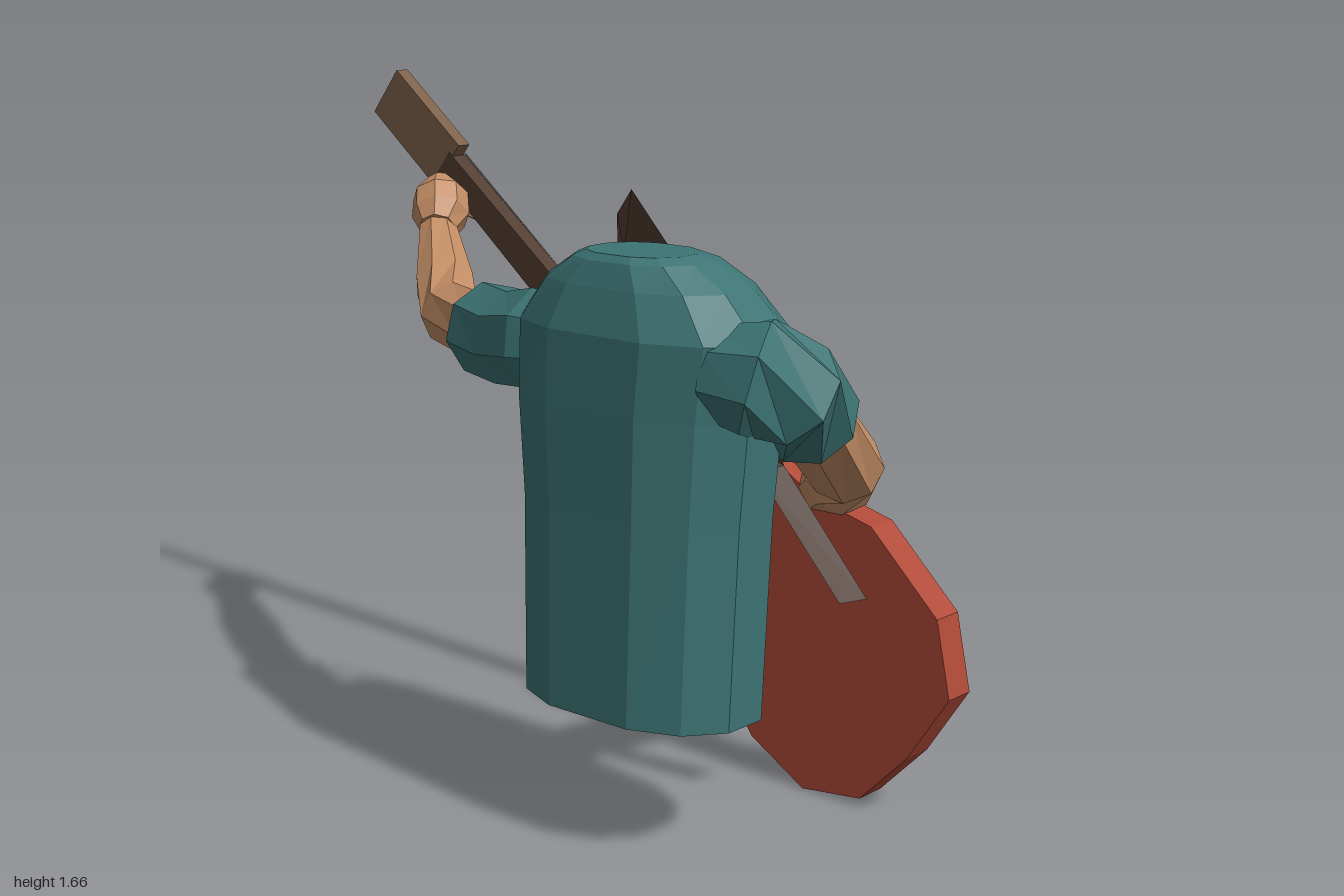
import * as THREE from 'three';

const material = (name, color, extra = {}) => {
  const m = new THREE.MeshStandardMaterial({ color, flatShading: true, ...extra });
  m.name = name;
  return m;
};
const V = (a) => new THREE.Vector3(...a);

// Closed surface through equal-length rings, which turn counterclockwise about the path.
function skin(rings) {
  const n = rings[0].length, pos = rings.flat().flatMap((p) => p.toArray()), index = [];
  for (let i = 0; i < rings.length - 1; i++) {
    for (let j = 0; j < n; j++) {
      const a = i * n + j, b = i * n + (j + 1) % n;
      index.push(a, b, b + n, a, b + n, a + n);
    }
  }
  const last = (rings.length - 1) * n;
  for (let j = 1; j < n - 1; j++) {
    index.push(0, j + 1, j, last, last + j, last + j + 1);
  }
  const g = new THREE.BufferGeometry();
  g.setAttribute('position', new THREE.Float32BufferAttribute(pos, 3));
  g.setIndex(index);
  const flat = g.toNonIndexed();
  flat.computeVertexNormals();
  return flat;
}

// Faceted limb through stations [x, y, z, radius].
function limb(stations, sides = 8) {
  const c = stations.map((s) => V(s.slice(0, 3)));
  return skin(stations.map((s, i) => {
    const t = c[Math.min(i + 1, c.length - 1)].clone().sub(c[Math.max(i - 1, 0)]).normalize();
    const b = t.clone().cross(V([0.3, 0.2, 1]).normalize()).normalize();
    const n = b.clone().cross(t);
    return Array.from({ length: sides }, (_, j) => {
      const a = (j + 0.5) / sides * Math.PI * 2;
      return c[i].clone().addScaledVector(n, s[3] * Math.cos(a)).addScaledVector(b, s[3] * Math.sin(a));
    });
  }));
}

export function createModel() {
  const teal = material('teal cloth', 0x3d7474);
  const skinTone = material('skin', 0xc48e66);
  const red = material('red lacquer', 0xb04a38);
  const darkWood = material('dark wood', 0x523d31);
  const headWood = material('headstock wood', 0x7d604a);
  const cream = material('guard grey', 0xaaa293);
  const black = material('black plastic', 0x1f2122);
  const steel = material('string steel', 0x97938c);
  const leather = material('strap leather', 0x4b362d, { side: THREE.DoubleSide });

  const model = new THREE.Group();
  const add = (parent, name, geometry, mat) => {
    const mesh = new THREE.Mesh(geometry, mat);
    mesh.name = name;
    parent.add(mesh);
    return mesh;
  };

  // Torso: one twelve-sided section scaled up the body [y, xMin, xMax, zMin, zMax]
  const section = [[-0.39, 1], [0.39, 1], [0.78, 0.75], [1, 0.3], [1, -0.3], [0.78, -0.75],
    [0.39, -1], [-0.39, -1], [-0.78, -0.75], [-1, -0.3], [-1, 0.3], [-0.78, 0.75]];
  const levels = [[0.33, 0.16, 0.76, 0.09, 0.475], [0.8, 0.15, 0.775, 0.08, 0.47],
    [1.03, 0.125, 0.79, 0.065, 0.468], [1.2, 0.125, 0.81, 0.06, 0.465],
    [1.3, 0.21, 0.72, 0.11, 0.44], [1.355, 0.3, 0.635, 0.16, 0.42], [1.37, 0.34, 0.6, 0.2, 0.405]];
  add(model, 'torso', skin(levels.map(([y, x0, x1, z0, z1]) => section.map(([u, w]) =>
    new THREE.Vector3((x0 + x1 + u * (x1 - x0)) / 2, y, (z0 + z1 + w * (z1 - z0)) / 2)))), teal);

  // Sleeves
  add(model, 'rightSleeve', limb([[0.26, 1.13, 0.29, 0.11], [0.16, 1.13, 0.29, 0.125],
    [0.04, 1.11, 0.26, 0.118], [-0.1, 1.11, 0.21, 0.118]]), teal);
  add(model, 'leftSleeve', limb([[0.7, 1.13, 0.32, 0.11], [0.79, 1.13, 0.3, 0.135],
    [0.835, 1.09, 0.24, 0.125], [0.805, 1.015, 0.13, 0.115]]), teal);

  // Arms
  add(model, 'rightArm', limb([[0, 1.11, 0.25, 0.085], [-0.1, 1.11, 0.21, 0.088],
    [-0.34, 1.105, 0.1, 0.083], [-0.46, 1.155, 0.01, 0.078], [-0.64, 1.265, -0.14, 0.052],
    [-0.66, 1.29, -0.16, 0.05]]), skinTone);
  add(model, 'leftArm', limb([[0.82, 1.06, 0.19, 0.085], [0.8, 1.01, 0.12, 0.09],
    [0.705, 0.835, -0.15, 0.09], [0.66, 0.79, -0.19, 0.085], [0.45, 0.665, -0.33, 0.056],
    [0.42, 0.64, -0.345, 0.052]]), skinTone);

  // Hands
  add(model, 'rightHand', limb([[-0.63, 1.27, -0.13, 0.05], [-0.66, 1.3, -0.17, 0.078],
    [-0.69, 1.345, -0.2, 0.075], [-0.725, 1.385, -0.23, 0.03]]), skinTone);
  add(model, 'leftHand', limb([[0.44, 0.66, -0.33, 0.05], [0.405, 0.605, -0.345, 0.08],
    [0.385, 0.555, -0.36, 0.075], [0.37, 0.5, -0.375, 0.035]]), skinTone);
  for (let i = 0; i < 3; i++) {
    add(model, 'rightFinger', limb([[-0.74 + i * 0.03, 1.385 - i * 0.025, -0.23, 0.018],
      [-0.735 + i * 0.03, 1.36 - i * 0.03, -0.29, 0.018],
      [-0.72 + i * 0.03, 1.33 - i * 0.025, -0.315, 0.011]], 6), skinTone);
  }
  add(model, 'leftThumb', limb([[0.4, 0.59, -0.38, 0.03], [0.375, 0.615, -0.43, 0.025],
    [0.37, 0.632, -0.475, 0.015]], 6), skinTone);

  // Strap: a twisting ribbon given by pairs of edge points
  const edges = [[0.23, 1.41, 0.12, 0.31, 1.33, 0.185], [0.21, 1.19, 0.09, 0.27, 1.47, 0.115],
    [0.42, 0.96, 0.05, 0.515, 1.135, 0.045], [0.62, 0.85, 0.075, 0.65, 0.86, 0.015],
    [0.815, 0.565, 0.015, 0.84, 0.565, -0.055]];
  const ribbon = new THREE.BufferGeometry();
  ribbon.setAttribute('position', new THREE.Float32BufferAttribute(edges.flat(), 3));
  ribbon.setIndex(edges.slice(1).flatMap((_, i) => [0, 1, 3, 0, 3, 2].map((k) => k + i * 2)));
  const strapGeometry = ribbon.toNonIndexed();
  strapGeometry.computeVertexNormals();
  add(model, 'strap', strapGeometry, leather);

  // Guitar frame: x runs along the neck to the headstock, z out of the playing face
  const guitar = new THREE.Group();
  guitar.name = 'guitar';
  const U = V([-0.783, 0.622, 0]), W = V([0.622, 0.783, 0]);
  guitar.quaternion.setFromRotationMatrix(new THREE.Matrix4().makeBasis(U, W, V([0, 0, -1])));
  model.add(guitar);
  const axis = 0.667;
  const toLocal = ([x, y]) => new THREE.Vector2(x * U.x + y * U.y, x * W.x + y * W.y);
  const plate = (name, points, z, depth, mat) => {
    const g = new THREE.ExtrudeGeometry(new THREE.Shape(points), { depth, bevelEnabled: false });
    return add(guitar, name, g.translate(0, 0, z), mat);
  };
  const box = (name, t, s, z, l, w, d, mat) =>
    add(guitar, name, new THREE.BoxGeometry(l, w, d).translate(t, s, z), mat);

  // Body and guard
  plate('guitarBody', [[0.1, 0.47], [0.16, 0.44], [0.26, 0.33], [0.43, 0.1], [0.59, 0.005],
    [0.76, 0.025], [0.89, 0.16], [1, 0.33], [0.96, 0.515], [0.77, 0.7], [0.6, 0.745],
    [0.44, 0.84], [0.33, 0.908], [0.3, 0.78], [0.38, 0.66], [0.32, 0.56], [0.23, 0.56],
    [0.13, 0.54]].map(toLocal), 0.165, 0.085, red);
  plate('guard', [[0.35, 0.55], [0.38, 0.39], [0.56, 0.145], [0.7, 0.09], [0.83, 0.205],
    [0.92, 0.41], [0.68, 0.62], [0.46, 0.66]].map(toLocal), 0.25, 0.006, cream);

  // Neck and headstock
  plate('neck', [[0, axis - 0.052], [1.46, axis - 0.037], [1.46, axis + 0.037], [0, axis + 0.052]]
    .map((p) => new THREE.Vector2(...p)), 0.248, 0.047, darkWood);
  box('headstock', 1.597, axis, 0.27, 0.306, 0.15, 0.04, headWood);

  // Frets, inlays and strings
  for (let n = 1; n <= 20; n++) {
    const t = 1.45 - 1.75 * (1 - 2 ** (-n / 12));
    box('fret', t, axis, 0.296, 0.005, 0.098 - 0.016 * t, 0.005, steel);
  }
  for (const t of [0.5, 0.71, 0.95, 1.13]) {
    add(guitar, 'inlay', new THREE.CylinderGeometry(0.013, 0.013, 0.004, 8)
      .rotateX(Math.PI / 2).translate(t, axis, 0.2965), cream);
  }
  for (let i = 0; i < 6; i++) {
    box('string', 0.575, axis + (i - 2.5) * 0.0135, 0.305, 1.75, 0.0035, 0.0035, steel);
  }

  // Bridge, pickups and knobs
  box('bridge', -0.3, axis, 0.268, 0.075, 0.16, 0.026, black);
  for (const t of [-0.15, -0.055]) box('pickup', t, axis, 0.268, 0.05, 0.13, 0.026, black);
  for (const p of [[0.65, 0.115], [0.555, 0.12]]) {
    const { x, y } = toLocal(p);
    add(guitar, 'knob', new THREE.CylinderGeometry(0.03, 0.03, 0.046, 8)
      .rotateX(Math.PI / 2).translate(x, y, 0.276), black);
  }
  return model;
}
